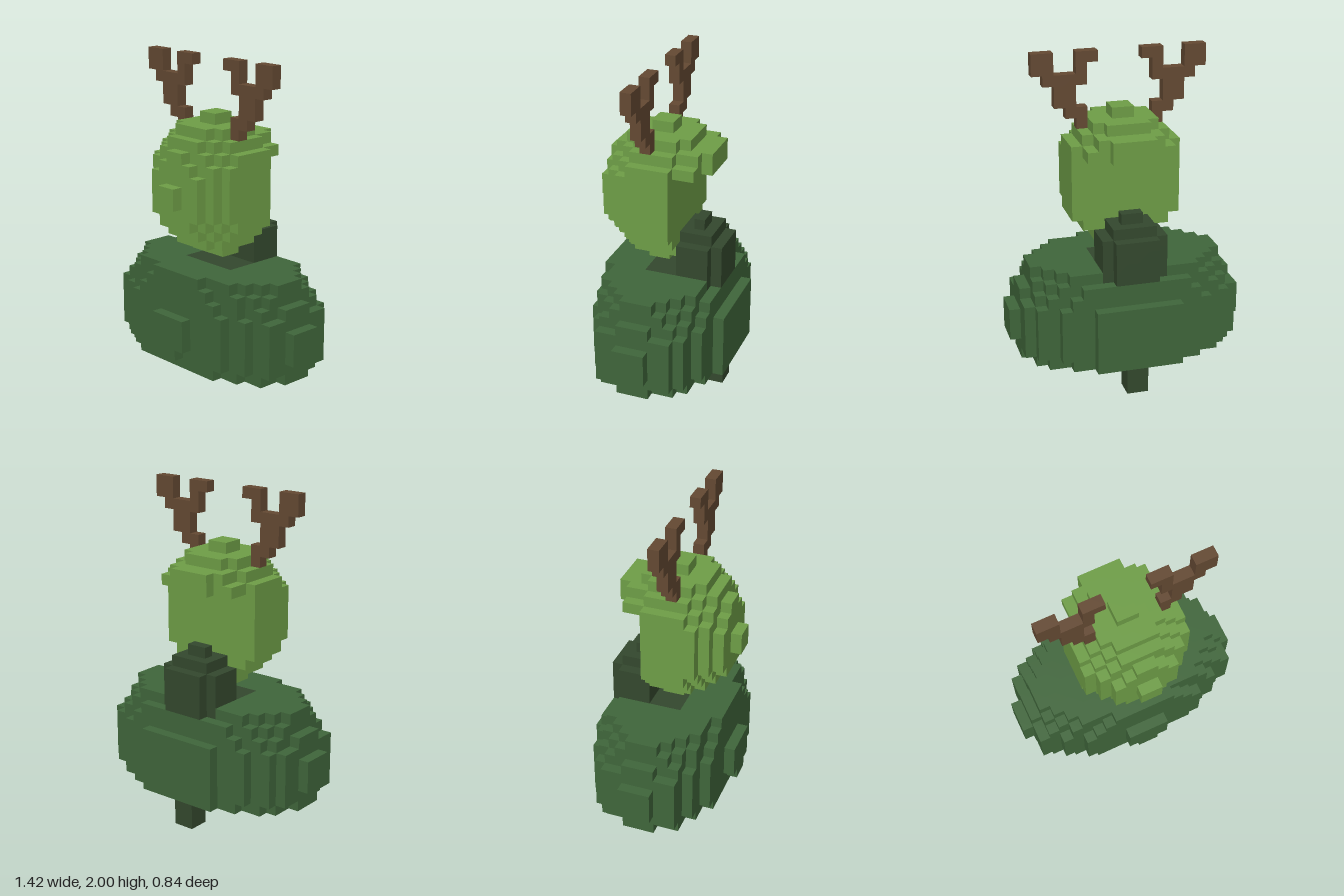
import * as THREE from 'three';

const U = 2 / 31; // edge of one cube
const mat = (name, color) => new THREE.MeshStandardMaterial({ name, color });

export function createModel() {
  const materials = {
    head: mat('leaf green', 0x6f9f47),
    body: mat('forest green', 0x40673b),
    trunk: mat('dark moss', 0x34492e),
    antlers: mat('bark brown', 0x654a33),
  };
  const cells = new Map(); // "x,y,z" -> part

  // Fill cubes x0..x1, y0..y1 (upper ends excluded) and z0..z1 (included)
  const fill = (part, x0, x1, y0, y1, z0, z1) => {
    for (let x = x0; x < x1; x++)
      for (let y = y0; y < y1; y++)
        for (let z = z0; z <= z1; z++) cells.set(`${x},${y},${z}`, part);
  };
  const slab = (part, half, y0, y1, z0, z1) => fill(part, -half, half, y0, y1, z0, z1);

  // Body: a wide rounded mass, cut flat above and below
  const reach = [0, 7.2, 9, 10, 10.2, 10.8, 10.8, 10.8, 10.2, 10, 8, 6, 2.5];
  reach.forEach((r, i) => {
    const z = i - 6;
    const slope = z === 4 || z === 5 ? 1.05 : 1.69;
    for (let y = 3; y < (z === -5 ? 11 : 12); y++) {
      const h2 = r * r - slope * (y - 6) ** 2;
      if (h2 > 0) slab('body', Math.floor(Math.sqrt(h2) + 0.4), y, y + 1, z, z);
    }
  });
  slab('body', 4, 3, 9, -6, -6); // back plate
  slab('body', 1, 4, 5, 6, 6); // tip of the front plate

  // Trunk: flush neck base, stepped stump behind the head, and the foot
  slab('trunk', 3, 11, 12, -4, 1);
  slab('trunk', 3, 12, 15, -4, -2);
  slab('trunk', 2, 11, 15, -5, -5);
  slab('trunk', 2, 15, 16, -4, -2);
  slab('trunk', 1, 16, 17, -3, -3);
  slab('trunk', 1, 0, 3, -5, -4);

  // Head: ellipsoid with its lower back cut away
  for (let x = -6; x < 6; x++)
    for (let y = 13; y < 26; y++)
      for (let z = y < 22 ? -1 : -4; z <= 5; z++) {
        const d = ((x + 0.5) / 5.5) ** 2 + ((y + 0.5 - 19.43) / 6.2) ** 2 + ((z - 0.5) / 5.4) ** 2;
        if (d <= 1) fill('head', x, x + 1, y, y + 1, z, z);
      }
  slab('head', 1, 18, 20, 6, 6); // nose
  slab('head', 2, 22, 24, -4, -4); // overhang at the back
  slab('head', 4, 22, 23, -3, -2);
  slab('head', 3, 23, 24, -3, -2);

  // Antlers: rows of [x0, x1, y0, y1], mirrored
  const rows = [
    [3, 4, 24, 26], [4, 5, 25, 26], [4, 6, 26, 28], [3, 7, 28, 29],
    [3, 4, 29, 31], [2, 3, 30, 31], [6, 8, 29, 31],
  ];
  for (const [a, b, c, d] of rows) {
    fill('antlers', a, b, c, d, 1, 1);
    fill('antlers', -b, -a, c, d, 1, 1);
  }

  // Only the outer faces of the cubes become geometry
  const points = { head: [], body: [], trunk: [], antlers: [] };
  for (const [key, part] of cells) {
    const p = key.split(',').map(Number);
    const centre = [p[0] + 0.5, p[1] + 0.5, p[2]];
    for (let axis = 0; axis < 3; axis++)
      for (const s of [1, -1]) {
        const q = [...p];
        q[axis] += s;
        if (cells.has(q.join(','))) continue;
        const u = (axis + 1) % 3, v = (axis + 2) % 3;
        const corner = (a, b) => {
          const c = [...centre];
          c[axis] += s / 2;
          c[u] += (a * s) / 2;
          c[v] += b / 2;
          return c.map((n) => n * U);
        };
        const A = corner(-1, -1), B = corner(1, -1), C = corner(1, 1), D = corner(-1, 1);
        points[part].push(...A, ...B, ...C, ...A, ...C, ...D);
      }
  }

  const group = new THREE.Group();
  group.name = 'antlered bush figure';
  for (const part in points) {
    const geo = new THREE.BufferGeometry();
    geo.setAttribute('position', new THREE.Float32BufferAttribute(points[part], 3));
    geo.computeVertexNormals();
    const mesh = new THREE.Mesh(geo, materials[part]);
    mesh.name = part;
    group.add(mesh);
  }
  return group;
}
